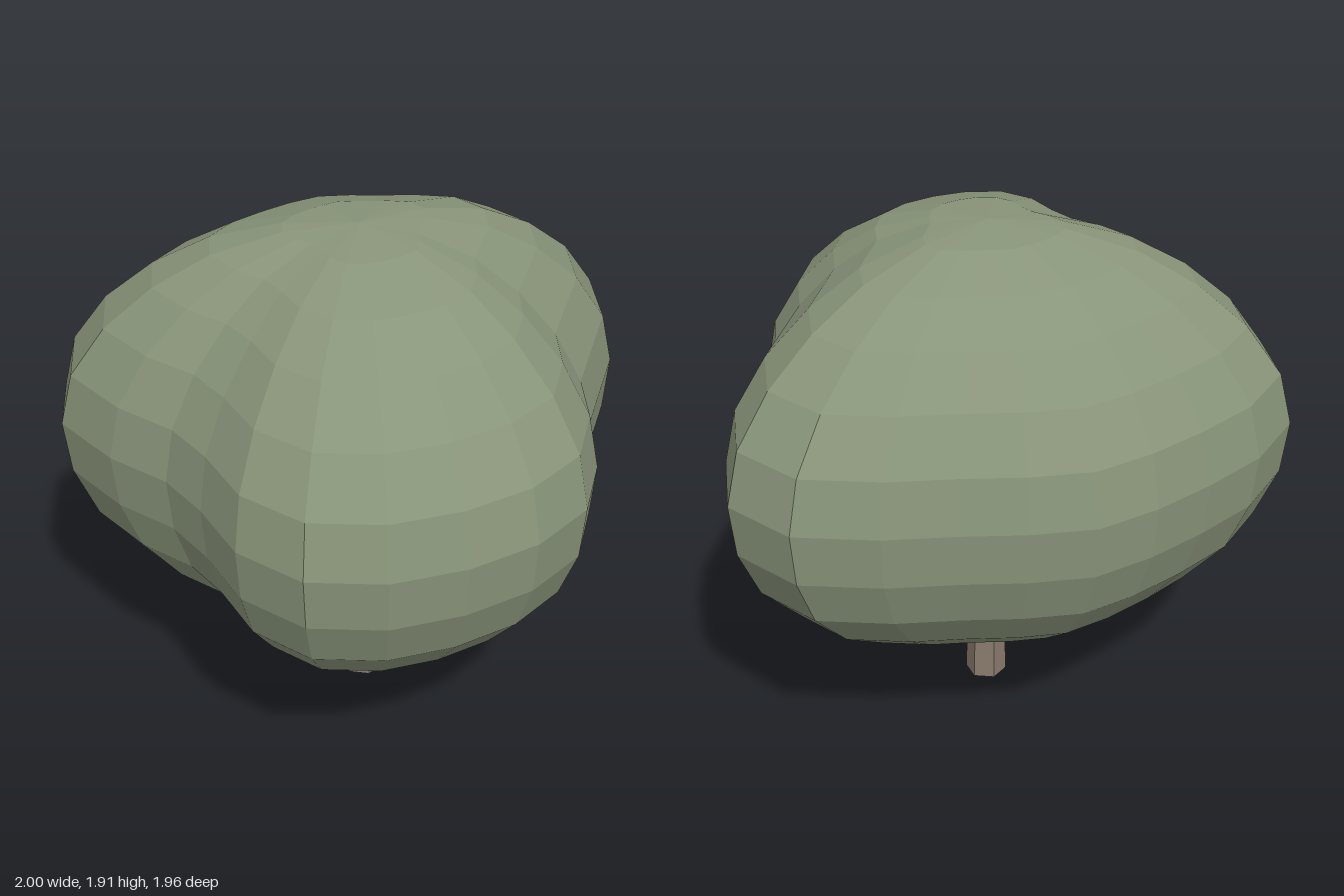
import * as THREE from 'three';

const CENTRE_X = -0.09;

// Canopy outline radius every 15 degrees, turning from +x towards +z
const OUTLINE = [
  1.09, 1.11, 0.99, 0.86, 0.81, 0.89, 0.975, 1.0, 1.01, 1.03, 1.03, 0.945,
  0.82, 0.8, 0.915, 1.06, 1.095, 1.015, 0.935, 0.905, 0.905, 0.875, 0.88, 0.963,
];

// Canopy profile: [fraction of the outline radius, height]
const PROFILE = [
  [0, 0.485], [0.58, 0.485], [0.76, 0.615], [0.905, 0.785], [0.98, 0.975], [1, 1.175],
  [0.955, 1.37], [0.835, 1.55], [0.67, 1.7], [0.48, 1.815], [0.245, 1.89], [0, 1.915],
];

function createCanopy() {
  const n = OUTLINE.length;
  const geometry = new THREE.LatheGeometry(PROFILE.map(([r, y]) => new THREE.Vector2(r, y)), n);
  const p = geometry.attributes.position;
  // Stretch the round dome to the irregular outline
  for (let i = 0; i < p.count; i++) {
    const turn = Math.atan2(p.getZ(i), p.getX(i)) / (2 * Math.PI);
    const r = OUTLINE[(Math.round(turn * n) + n) % n];
    p.setXYZ(i, p.getX(i) * r, p.getY(i), p.getZ(i) * r);
  }
  geometry.computeVertexNormals();
  const material = new THREE.MeshStandardMaterial({ color: 0x89957a, flatShading: true });
  const canopy = new THREE.Mesh(geometry, material);
  canopy.name = 'canopy';
  canopy.position.x = CENTRE_X;
  return canopy;
}

// Six-sided stem swept upward through levels of [x, y, z, radius]
function createStem(name, levels, material) {
  const last = levels.length - 1;
  const geometry = new THREE.CylinderGeometry(1, 1, 1, 6, last, false, Math.PI / 6);
  const p = geometry.attributes.position;
  for (let i = 0; i < p.count; i++) {
    const [x, y, z, r] = levels[Math.round((p.getY(i) + 0.5) * last)];
    p.setXYZ(i, x + p.getX(i) * r, y, z + p.getZ(i) * r);
  }
  geometry.computeVertexNormals();
  const stem = new THREE.Mesh(geometry, material);
  stem.name = name;
  stem.position.x = CENTRE_X;
  return stem;
}

export function createModel() {
  const model = new THREE.Group();
  model.name = 'tree';
  const bark = new THREE.MeshStandardMaterial({ color: 0x8c7c6e, flatShading: true });

  // Two stems share the trunk base and part below the canopy
  const rightStem = [
    [0, 0, 0, 0.077], [0, 0.2, 0, 0.075], [-0.045, 0.36, 0.03, 0.063], [-0.08, 0.485, 0.055, 0.053], [-0.11, 0.58, 0.075, 0.045],
  ];
  const leftStem = [
    [0, 0, 0, 0.078], [0.004, 0.2, -0.004, 0.074], [0.035, 0.36, -0.04, 0.063], [0.065, 0.485, -0.08, 0.053], [0.09, 0.58, -0.11, 0.045],
  ];
  model.add(
    createCanopy(),
    createStem('rightStem', rightStem, bark),
    createStem('leftStem', leftStem, bark),
  );
  return model;
}
